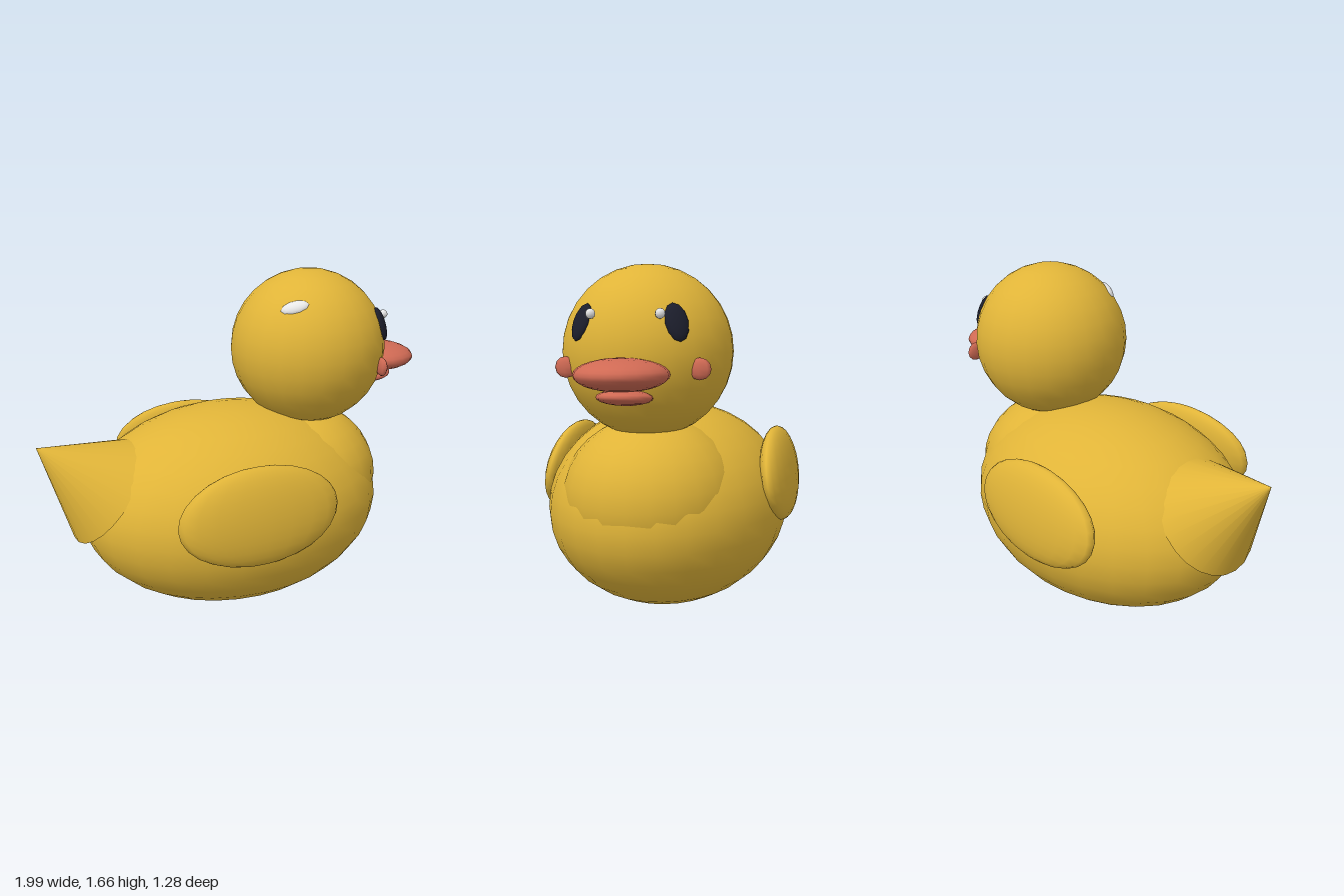
import * as THREE from 'three';

const mat = (name, color) => {
  const m = new THREE.MeshStandardMaterial({ color });
  m.name = name;
  return m;
};

export function createModel() {
  const duck = new THREE.Group();
  duck.name = 'duck';
  const yellow = mat('yellow', 0xe0b438);
  const coral = mat('coral', 0xd06a54);
  const dark = mat('dark navy', 0x1c1e2c);
  const white = mat('white', 0xeaeaea);

  // Smooth ellipsoid with its own radii
  const ellipsoid = (name, material, pos, radii, w = 20, h = 14) => {
    const geo = new THREE.SphereGeometry(1, w, h);
    geo.scale(...radii);
    const mesh = new THREE.Mesh(geo, material);
    mesh.name = name;
    mesh.position.set(...pos);
    duck.add(mesh);
    return mesh;
  };

  // Turn a part so its y axis is the given normal and x follows a tangent
  const lieOn = (mesh, normal, tangent) => {
    const n = new THREE.Vector3(...normal).normalize();
    const z = new THREE.Vector3(...tangent).cross(n).normalize();
    const x = new THREE.Vector3().crossVectors(n, z);
    mesh.quaternion.setFromRotationMatrix(new THREE.Matrix4().makeBasis(x, n, z));
  };

  // Body, breast and head
  ellipsoid('body', yellow, [-0.025, 0.5, 0], [0.785, 0.503, 0.595], 28, 18);
  ellipsoid('breast', yellow, [0.34, 0.6, 0], [0.42, 0.37, 0.42], 24, 16);
  ellipsoid('head', yellow, [0.39, 1.27, 0], [0.39, 0.39, 0.39], 24, 16);

  // Tail cone, tip pointing back and up
  const tail = new THREE.Mesh(new THREE.ConeGeometry(0.29, 0.42, 24), yellow);
  tail.name = 'tail';
  tail.position.set(-0.837, 0.778, 0);
  tail.rotation.z = 0.89;
  duck.add(tail);

  // Beak
  ellipsoid('upperBeak', coral, [0.785, 1.187, 0], [0.207, 0.07, 0.2]);
  ellipsoid('lowerBeak', coral, [0.745, 1.09, 0], [0.13, 0.034, 0.12], 16, 10).rotation.z = 0.08;

  // Mirrored parts
  for (const [side, s] of [['near', 1], ['far', -1]]) {
    const wing = ellipsoid(side + 'Wing', yellow, [-0.1, 0.65, s * 0.555], [0.4, 0.232, 0.078]);
    wing.rotation.set(-s * 0.16, s * 0.03, 0);

    const eye = ellipsoid(side + 'Eye', dark, [0.685, 1.4, s * 0.207], [0.052, 0.026, 0.085], 12, 8);
    lieOn(eye, [0.302, 0.13, s * 0.21], [-0.55, 0.08, s * 0.75]);

    ellipsoid(side + 'EyeGlint', white, [0.735, 1.435, s * 0.15], [0.022, 0.022, 0.022], 8, 6);
    ellipsoid(side + 'Cheek', coral, [0.65, 1.208, s * 0.297], [0.019, 0.047, 0.05], 8, 6);
  }

  // Shine spot on the head
  const shine = ellipsoid('headShine', white, [0.207, 1.515, 0.222], [0.07, 0.024, 0.036], 10, 8);
  lieOn(shine, [-0.48, 0.65, 0.58], [0.12, 0.035, 0.06]);

  return duck;
}
